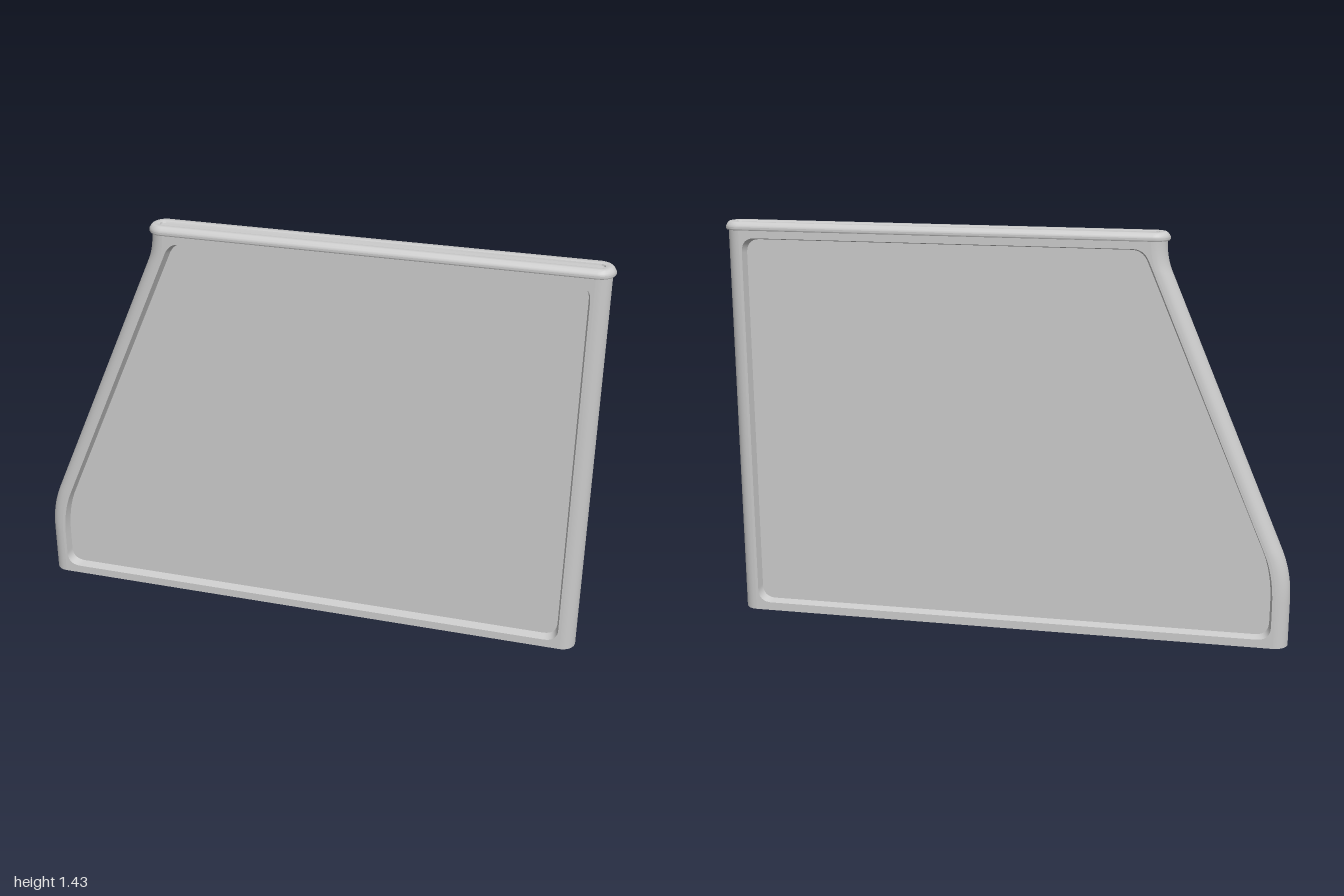
import * as THREE from 'three';
import { toCreasedNormals } from 'three/addons/utils/BufferGeometryUtils.js';

const R = 0.05;          // half thickness of the body
const RIGHT = 0.99, TOP = 1.41;
const PANEL_Z = 0.018;   // half thickness at the recessed panels

const material = new THREE.MeshStandardMaterial({ color: 0xcccccc, side: THREE.DoubleSide });

function add(parent, name, geometry) {
  const mesh = new THREE.Mesh(geometry, material);
  mesh.name = name;
  parent.add(mesh);
  return mesh;
}

// Skin between successive rings of equal length
function loft(rings, closed) {
  const n = rings[0].length, index = [];
  const steps = closed ? n : n - 1;
  for (let i = 0; i < rings.length - 1; i++) {
    for (let j = 0; j < steps; j++) {
      const k = (j + 1) % n;
      const a = i * n + j, b = i * n + k, c = b + n, d = a + n;
      index.push(a, b, c, a, c, d);
    }
  }
  const geometry = new THREE.BufferGeometry().setFromPoints(rings.flat());
  geometry.setIndex(index);
  geometry.computeVertexNormals();
  return geometry;
}

// Half circle in plan, starting at the given angle
function halfRound(cx, y, r, start, segments = 16) {
  return Array.from({ length: segments + 1 }, (_, i) => {
    const a = start + Math.PI * i / segments;
    return new THREE.Vector3(cx + r * Math.cos(a), y, -r * Math.sin(a));
  });
}

// Slanted outer edge, from the bottom up
function slantedEdge() {
  const path = new THREE.Path();
  path.moveTo(-1, 0);
  path.lineTo(-1, 0.17);
  path.quadraticCurveTo(-1, 0.27, -0.965, 0.35);
  path.lineTo(-0.56, 1.3);
  path.quadraticCurveTo(-0.54, 1.345, -0.54, TOP);
  return path.getPoints(10);
}

// Outline of the recess, inset by d
function recessOutline(d) {
  const l = -0.94 + d, r = 0.93 - d, b = 0.03 + d, t = 1.38 - d, c = 0.05;
  const s = new THREE.Shape();
  s.moveTo(l + c, b);
  s.lineTo(r - c, b);
  s.quadraticCurveTo(r, b, r, b + c);
  s.lineTo(r, t - c);
  s.quadraticCurveTo(r, t, r - c, t);
  s.lineTo(-0.43 + d, t);
  s.quadraticCurveTo(-0.468 + d, t, -0.485 + d, t - 0.04);
  s.lineTo(-0.905 + d, 0.35);
  s.quadraticCurveTo(l, 0.27, l, 0.16);
  s.lineTo(l, b + c);
  s.quadraticCurveTo(l, b, l + c, b);
  return s.getPoints(10).slice(0, -1);
}

// One broad side: flat frame, recess wall and panel
function createSide(edge) {
  const side = new THREE.Group();
  const rim = recessOutline(0), floor = recessOutline(0.007);

  const frame = new THREE.Shape([
    new THREE.Vector2(RIGHT - R, 0),
    new THREE.Vector2(RIGHT - R, TOP),
    ...edge.map(p => new THREE.Vector2(p.x + R, p.y)).reverse(),
  ]);
  frame.holes.push(new THREE.Path(rim));
  add(side, 'frameFace', new THREE.ShapeGeometry(frame).translate(0, 0, R));

  const atDepth = (points, z) => points.map(p => new THREE.Vector3(p.x, p.y, z));
  add(side, 'recessWall', loft([atDepth(rim, R), atDepth(floor, PANEL_Z)], true));
  add(side, 'panel', new THREE.ShapeGeometry(new THREE.Shape(floor)).translate(0, 0, PANEL_Z));
  return side;
}

export function createModel() {
  const model = new THREE.Group();
  model.name = 'panelBoard';
  const edge = slantedEdge();

  // Rounded ends of the hollow body, open underneath
  add(model, 'slantedEnd', loft(edge.map(p => halfRound(p.x + R, p.y, R, Math.PI / 2)), false));
  add(model, 'straightEnd', loft([0, TOP].map(y => halfRound(RIGHT - R, y, R, -Math.PI / 2)), false));

  // Broad sides, mirrored front to back
  for (const s of [1, -1]) {
    const side = createSide(edge);
    side.name = s > 0 ? 'frontSide' : 'backSide';
    side.scale.z = s;
    model.add(side);
  }

  // Cap with a rounded rim and a shallow groove: [radius, height]
  const profile = [
    [0.044, 1.405], [0.052, 1.406], [0.055, 1.411], [0.055, 1.417], [0.051, 1.424],
    [0.046, 1.431], [0.041, 1.434], [0.024, 1.434], [0.019, 1.432], [0.017, 1.427], [0, 1.427],
  ];
  const rings = profile.map(([r, y]) => [
    ...halfRound(0.945, y, r, -Math.PI / 2),
    ...halfRound(-0.495, y, r, Math.PI / 2),
  ]);
  add(model, 'cap', toCreasedNormals(loft(rings, true), 0.6));

  return model;
}
